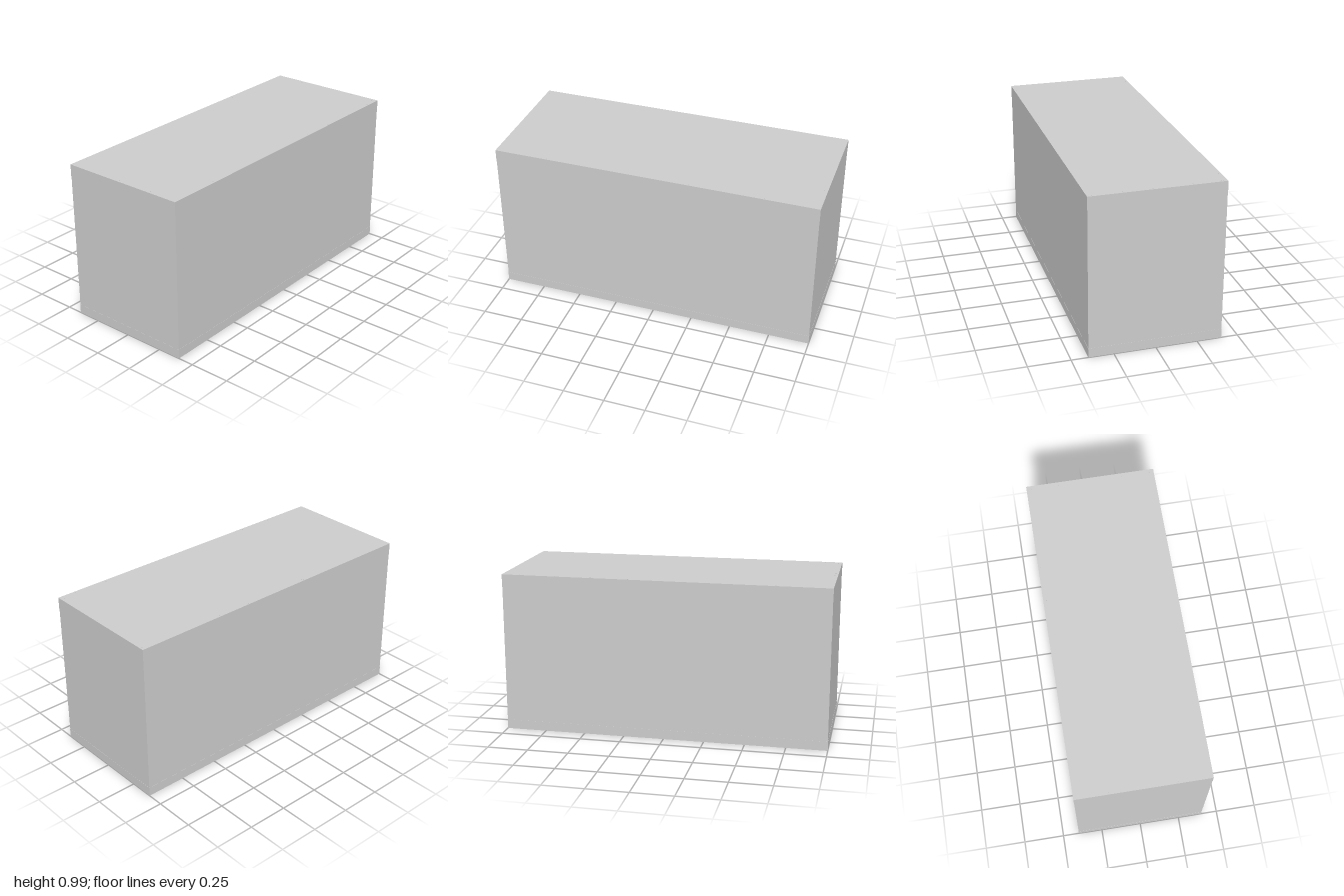
import * as THREE from 'three';

const W = 2, H = 0.985, D = 0.8;      // overall size
const BASE = 0.057, LID = 0.08;       // base and lid heights
const INSET = 0.002;                  // tiny seam between body, base and lid

export function createModel() {
  const group = new THREE.Group();
  group.name = 'crate';
  const grey = new THREE.MeshStandardMaterial({ color: 0xcccccc });
  grey.name = 'light grey';

  function add(name, geometry, x, y, z, parent = group) {
    const mesh = new THREE.Mesh(geometry, grey);
    mesh.name = name;
    mesh.position.set(x, y, z);
    parent.add(mesh);
    return mesh;
  }

  // Main body and lid
  const bodyH = H - BASE - LID;
  add('body', new THREE.BoxGeometry(W - INSET, bodyH, D - INSET), 0, BASE + bodyH / 2, 0);
  add('lid', new THREE.BoxGeometry(W, LID, D), 0, H - LID / 2, 0);

  // Ribbed base: a slab with a grid of open pockets, closed above by the body
  const frame = 0.06, rib = 0.035, cols = 7, rows = 3;
  const cellW = (W - 2 * frame - rib * (cols - 1)) / cols;
  const cellD = (D - 2 * frame - rib * (rows - 1)) / rows;
  const rect = (path, x, y, w, h) => path
    .moveTo(x, y).lineTo(x + w, y).lineTo(x + w, y + h).lineTo(x, y + h).closePath();
  const slab = rect(new THREE.Shape(), -W / 2, -D / 2, W, D);
  for (let i = 0; i < cols; i++) {
    for (let j = 0; j < rows; j++) {
      const x = -W / 2 + frame + i * (cellW + rib);
      const y = -D / 2 + frame + j * (cellD + rib);
      slab.holes.push(rect(new THREE.Path(), x, y, cellW, cellD));
    }
  }
  const baseGeo = new THREE.ExtrudeGeometry(slab, { depth: BASE, bevelEnabled: false });
  baseGeo.rotateX(-Math.PI / 2);
  add('ribbedBase', baseGeo, 0, 0, 0);

  // Small fastener heads around the rim of the lid
  const fasteners = new THREE.Group();
  fasteners.name = 'lidFasteners';
  group.add(fasteners);
  const head = new THREE.CylinderGeometry(0.005, 0.005, 0.001, 8);
  for (const side of [-1, 1]) {
    for (let i = -4; i <= 4; i++) add('fastener', head, i * 0.2225, H, side * 0.387, fasteners);
    for (const z of [-0.37, -0.2, -0.03, 0.03, 0.2, 0.37]) {
      add('fastener', head, side * 0.983, H, z, fasteners);
    }
  }
  return group;
}
